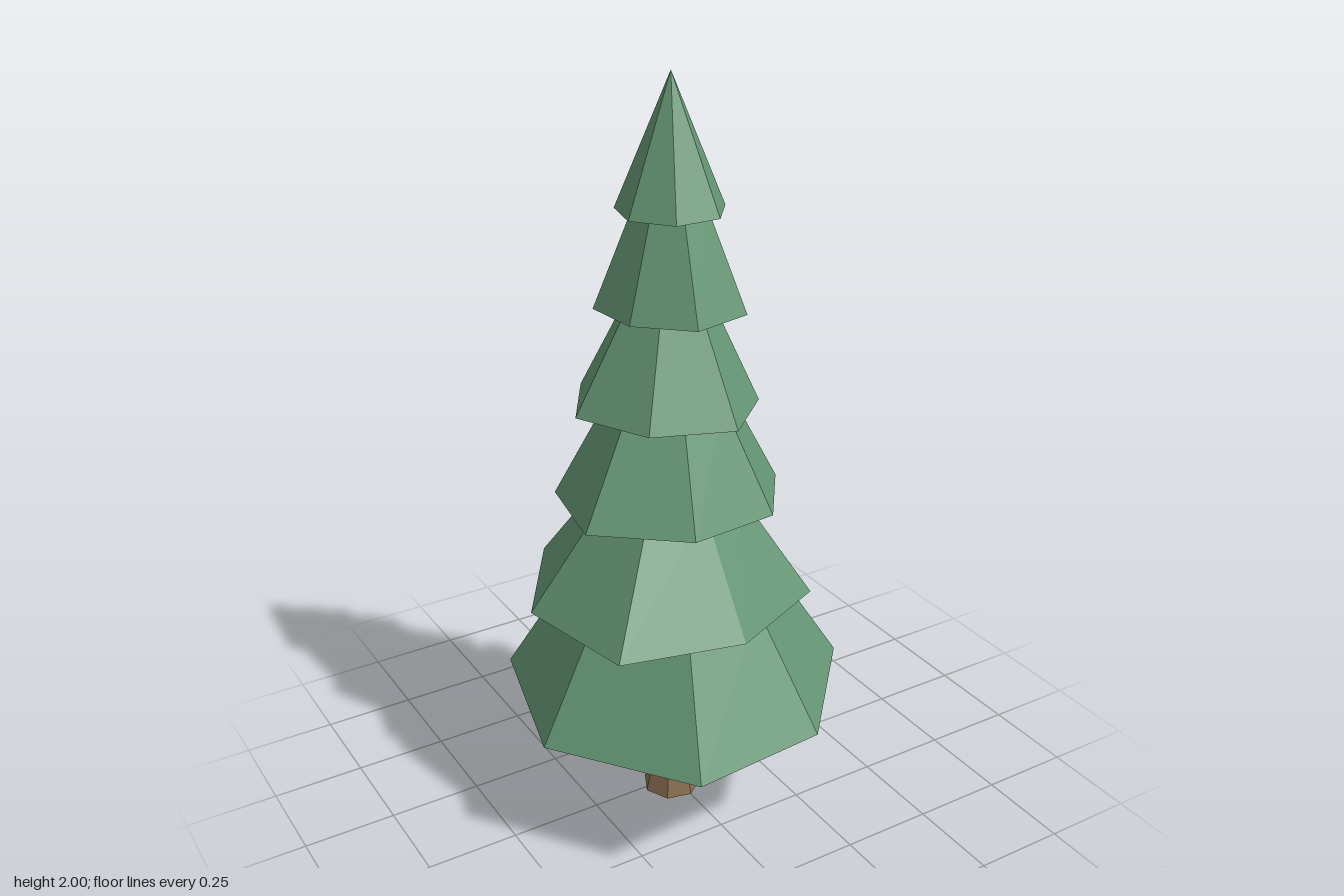
import * as THREE from 'three';

// the tree's axis
const CX = -0.017, CZ = 0.015;

const needles = new THREE.MeshStandardMaterial({ color: 0x659674 });
needles.name = 'needle green';
const bark = new THREE.MeshStandardMaterial({ color: 0x8a6e50 });
bark.name = 'bark brown';

// Closed faceted solid: one outline of [x, z] points, scaled at each level [y, scale]
function loft(outline, levels) {
  const pos = [];
  const n = outline.length;
  const at = (i, [y, s]) => [CX + outline[i % n][0] * s, y, CZ + outline[i % n][1] * s];
  const tri = (a, b, c) => pos.push(...a, ...b, ...c);
  const first = levels[0], last = levels[levels.length - 1];
  for (let i = 0; i < n; i++) {
    for (let k = 0; k < levels.length - 1; k++) {
      const lo = levels[k], hi = levels[k + 1];
      tri(at(i + 1, lo), at(i, lo), at(i, hi));
      if (hi[1] > 0) tri(at(i + 1, lo), at(i, hi), at(i + 1, hi));
    }
    tri([CX, first[0], CZ], at(i, first), at(i + 1, first));
    if (last[1] > 0) tri([CX, last[0], CZ], at(i + 1, last), at(i, last));
  }
  const geo = new THREE.BufferGeometry();
  geo.setAttribute('position', new THREE.Float32BufferAttribute(pos, 3));
  geo.computeVertexNormals(); // unshared corners give flat facets
  return geo;
}

// Seven-sided outline, running clockwise from above; start is measured from the back
function heptagon(r, start) {
  return Array.from({ length: 7 }, (_, i) => {
    const a = start + (i / 7) * Math.PI * 2;
    return [Math.sin(a) * r, -Math.cos(a) * r];
  });
}

// Foliage tiers from the bottom: base height, shrink at the next tier's base, rim corners
const TIERS = [
  { y: 0.345, shrink: 0.61, rim: [[0, -0.484], [0.333, -0.288], [0.476, 0.104], [0.191, 0.419], [-0.184, 0.449], [-0.442, 0.102], [-0.335, -0.318]] },
  { y: 0.64, shrink: 0.49, rim: [[-0.196, -0.36], [0.132, -0.33], [0.372, -0.117], [0.3, 0.216], [0.01, 0.345], [-0.31, 0.268], [-0.382, -0.067]] },
  { y: 0.915, shrink: 0.53, rim: [[-0.052, -0.288], [0.206, -0.199], [0.295, 0.047], [0.156, 0.238], [-0.087, 0.261], [-0.298, 0.087], [-0.253, -0.164]] },
  { y: 1.18, shrink: 0.48, rim: [[0.072, -0.246], [0.228, -0.079], [0.189, 0.114], [0.037, 0.251], [-0.166, 0.174], [-0.261, -0.02], [-0.146, -0.208]] },
  { y: 1.43, shrink: 0.5, rim: [[-0.045, -0.194], [0.129, -0.154], [0.184, 0.007], [0.122, 0.154], [-0.04, 0.191], [-0.161, 0.077], [-0.176, -0.077]] },
  { y: 1.67, shrink: 0, rim: heptagon(0.138, 0) },
];

export function createModel() {
  const tree = new THREE.Group();
  tree.name = 'pineTree';

  // trunk flared at the foot
  const trunk = new THREE.Mesh(
    loft(heptagon(1, -Math.PI / 2), [[0, 0.08], [0.13, 0.05], [0.37, 0.046]]), bark);
  trunk.name = 'trunk';
  tree.add(trunk);

  // stacked tiers, each reaching slightly into the one above; the last ends in a point
  TIERS.forEach(({ y, shrink, rim }, i) => {
    const levels = [[y, 1]];
    if (i < TIERS.length - 1) {
      const next = TIERS[i + 1].y, overlap = 0.02;
      levels.push([next + overlap, shrink - (1 - shrink) * overlap / (next - y)]);
    } else {
      levels.push([2, 0]);
    }
    const tier = new THREE.Mesh(loft(rim, levels), needles);
    tier.name = `foliageTier${i + 1}`;
    tree.add(tier);
  });

  return tree;
}
